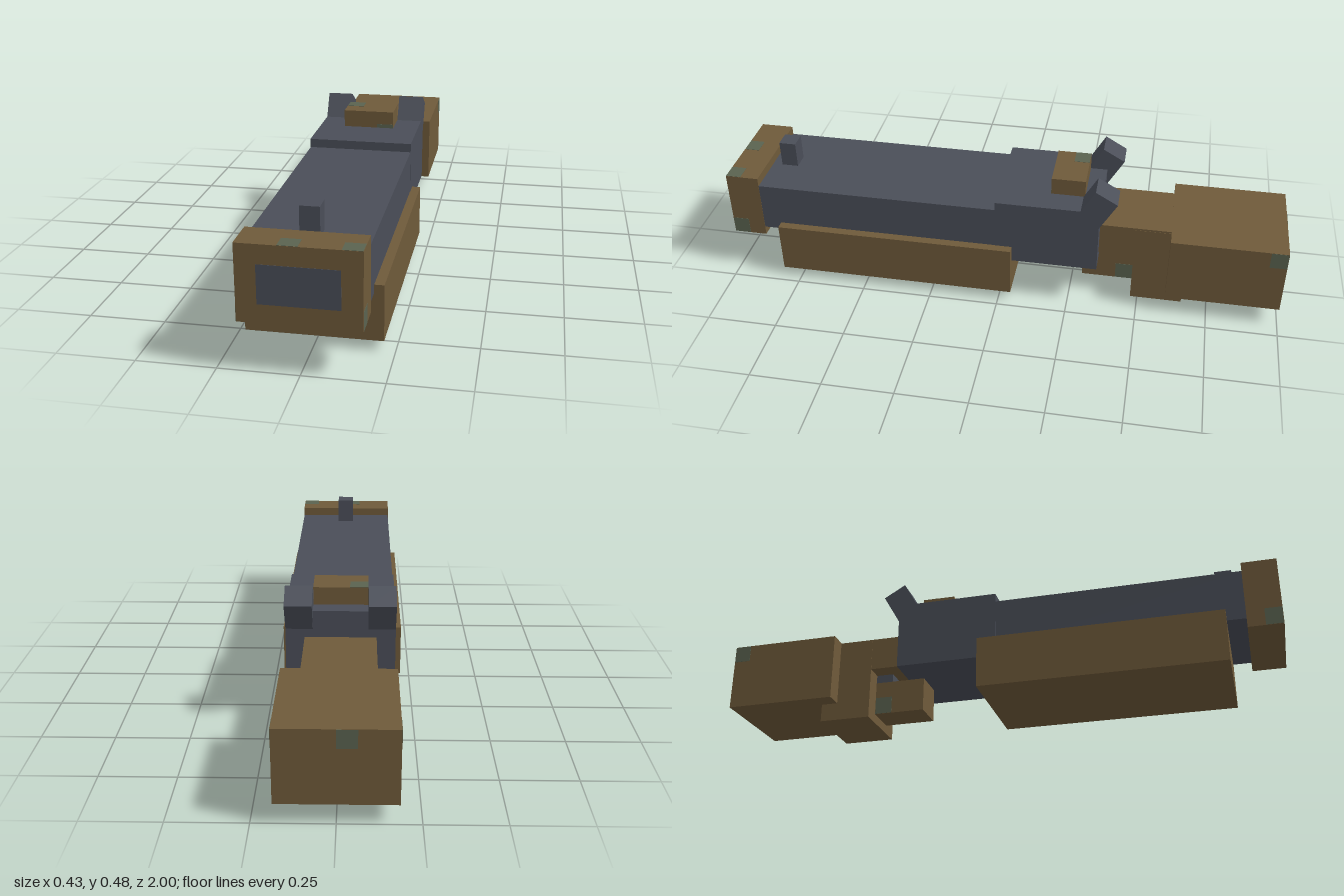
import * as THREE from 'three';

const material = (name, hex) => {
  const m = new THREE.MeshStandardMaterial({ color: hex });
  m.name = name;
  return m;
};

export function createModel() {
  const wood = material('wood brown', 0x6f5a3a);
  const steel = material('gunmetal', 0x4a4e58);
  const tarnish = material('tarnish green', 0x5a6350);
  const model = new THREE.Group();
  model.name = 'blockyGun';

  // Box given by its extents along x, y and z
  const box = (name, mat, [x0, x1], [y0, y1], [z0, z1]) => {
    const mesh = new THREE.Mesh(new THREE.BoxGeometry(x1 - x0, y1 - y0, z1 - z0), mat);
    mesh.position.set((x0 + x1) / 2, (y0 + y1) / 2, (z0 + z1) / 2);
    mesh.name = name;
    model.add(mesh);
    return mesh;
  };
  const wide = (w) => [-w, w];

  // Barrel, muzzle and fore-end
  box('barrel', steel, wide(0.184), [0.19, 0.37], [0.01, 0.89]);
  box('muzzleBlock', wood, wide(0.185), [0.157, 0.401], [0.88, 0.999]);
  box('muzzleOpening', steel, wide(0.122), [0.217, 0.34], [0.996, 1.0]);
  box('frontSight', steel, wide(0.031), [0.36, 0.463], [0.785, 0.845]);
  box('foreEnd', wood, wide(0.215), [0.033, 0.217], [-0.045, 0.815]);

  // Receiver with its rear sight block
  box('receiver', steel, wide(0.185), [0.157, 0.401], [-0.35, 0.015]);
  box('rearSight', wood, wide(0.093), [0.395, 0.463], [-0.29, -0.17]);

  // Pair of hammers leaning back by 30 degrees
  for (const side of [-1, 1]) {
    const hammer = new THREE.Mesh(new THREE.BoxGeometry(0.092, 0.124, 0.089), steel);
    hammer.position.set(side * 0.139, 0.409, -0.3405);
    hammer.rotation.x = -Math.PI / 6;
    hammer.name = side > 0 ? 'leftHammer' : 'rightHammer';
    model.add(hammer);
  }

  // Stock, grip and trigger group
  box('stockNeck', wood, wide(0.121), [0.187, 0.307], [-0.61, -0.34]);
  box('grip', wood, wide(0.122), [0, 0.3], [-0.66, -0.475]);
  box('butt', wood, wide(0.185), [0.065, 0.308], [-1, -0.6]);
  box('triggerGuard', wood, wide(0.06), [0.033, 0.156], [-0.48, -0.29]);
  box('trigger', steel, wide(0.058), [0.15, 0.19], [-0.477, -0.412]);

  // Small tarnished patches, as thin plates
  const t = 0.002;
  for (const s of [-1, 1]) {
    const at = (x) => [s * x - t / 2, s * x + t / 2];
    box('buttSidePatch', tarnish, at(0.185), [0.247, 0.307], [-0.999, -0.94]);
    box('muzzleSidePatch', tarnish, at(0.185), [0.158, 0.218], [0.94, 0.998]);
    box('guardPatch', tarnish, at(0.06), [0.034, 0.096], [-0.474, -0.412]);
  }
  box('buttBackPatch', tarnish, [-0.062, 0], [0.247, 0.307], [-1.001, -0.999]);
  box('muzzleTopPatch', tarnish, [-0.06, 0], [0.4, 0.402], [0.945, 0.998]);
  box('muzzleTopPatch', tarnish, [0.124, 0.184], [0.4, 0.402], [0.945, 0.998]);
  box('sightTopPatch', tarnish, [-0.092, -0.031], [0.462, 0.464], [-0.289, -0.235]);
  box('sightFrontPatch', tarnish, [0.031, 0.092], [0.401, 0.415], [-0.171, -0.169]);

  return model;
}
